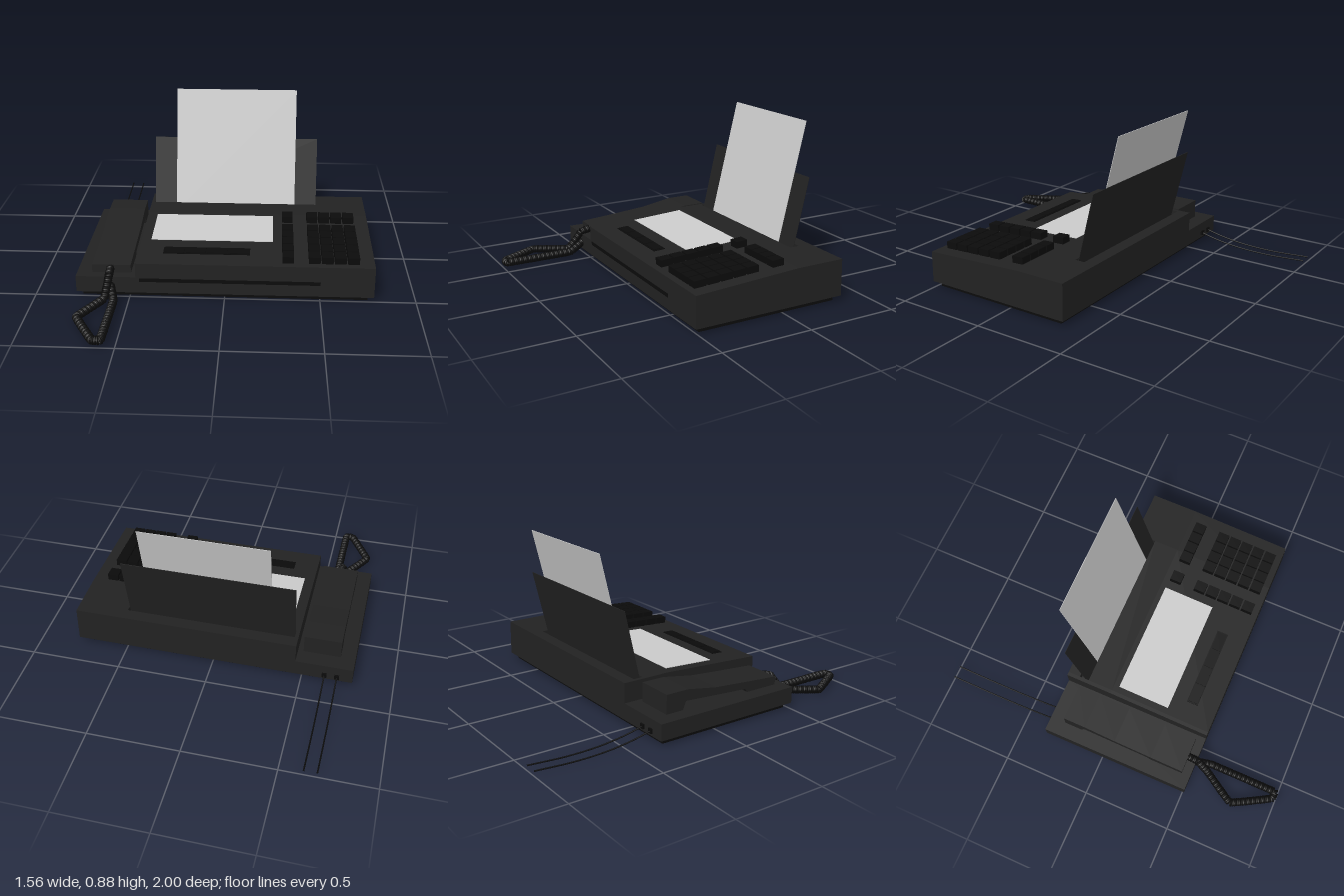
import * as THREE from 'three';

const mat = (color, extra = {}) => new THREE.MeshStandardMaterial({ color, ...extra });
const shell = mat(0x222222);
const dark = mat(0x0b0b0b);
const tray = mat(0x222222, { side: THREE.DoubleSide });
const paperMat = mat(0xcccccc, { side: THREE.DoubleSide });
const glass = mat(0xcccccc);

// Height of the sloped console top at depth z
const top = z => 0.23 - 0.03 * THREE.MathUtils.clamp((z + 0.08) / 0.59, 0, 1);

export function createModel() {
  const model = new THREE.Group();

  const add = (name, geometry, material) => {
    const mesh = new THREE.Mesh(geometry, material);
    mesh.name = name;
    model.add(mesh);
    return mesh;
  };

  const box = (name, x0, x1, y0, y1, z0, z1, material) =>
    add(name, new THREE.BoxGeometry(x1 - x0, y1 - y0, z1 - z0)
      .translate((x0 + x1) / 2, (y0 + y1) / 2, (z0 + z1) / 2), material);

  // Side profile of [z, y] points swept from x0 to x1
  const sweep = (name, points, x0, x1, material) => {
    const shape = new THREE.Shape(points.map(p => new THREE.Vector2(...p)));
    const geometry = new THREE.ExtrudeGeometry(shape, { depth: x1 - x0, bevelEnabled: false });
    return add(name, geometry.rotateY(-Math.PI / 2).translate(x1, 0, 0), material);
  };

  // Plate that lies on the sloped top
  const plate = (name, x, z, w, d, h, material) => {
    const mesh = add(name, new THREE.BoxGeometry(w, h + 0.01, d).translate(0, (h - 0.01) / 2, 0), material);
    mesh.position.set(x, top(z), z);
    mesh.rotation.x = Math.atan2(top(z - d / 2) - top(z + d / 2), d);
    return mesh;
  };

  // Thin sheet leaning back, from [y, z] to [y, z]
  const sheet = (name, x0, x1, [y0, z0], [y1, z1], material) => {
    const mesh = add(name, new THREE.BoxGeometry(x1 - x0, Math.hypot(y1 - y0, z1 - z0), 0.003), material);
    mesh.position.set((x0 + x1) / 2, (y0 + y1) / 2, (z0 + z1) / 2);
    mesh.rotation.x = Math.atan2(z1 - z0, y1 - y0);
  };

  // Base and console, with a slot for the paper tray
  box('foot', -0.75, 0.75, 0, 0.03, -0.32, 0.48, dark);
  const solid = [[-0.35, 0.03], [0.51, 0.03], [0.51, 0.2], [-0.08, 0.23], [-0.35, 0.23]];
  const slotted = [...solid.slice(0, 4), [-0.225, 0.23], [-0.225, 0.17], [-0.28, 0.17], [-0.28, 0.23], solid[4]];
  sweep('consoleRight', solid, -0.465, -0.445, shell);
  sweep('consoleMiddle', slotted, -0.445, 0.5, shell);
  sweep('consoleLeft', solid, 0.5, 0.78, shell);
  box('handsetBase', -0.78, -0.465, 0.03, 0.12, -0.35, 0.51, shell);
  box('paperOutlet', -0.445, 0.5, 0.095, 0.115, 0.5, 0.512, dark);

  // Handset: two end blocks joined by a thin sloping grip
  sweep('handset', [
    [-0.26, 0.115], [-0.16, 0.115], [-0.14, 0.165], [0.25, 0.14], [0.27, 0.115], [0.46, 0.115],
    [0.46, 0.165], [0.27, 0.178], [0.05, 0.195], [-0.13, 0.225], [-0.26, 0.225],
  ], -0.7, -0.495, shell);

  // Paper tray and sheet
  sheet('paperTray', -0.445, 0.5, [0.172, -0.231], [0.6, -0.335], tray);
  sheet('paper', -0.318, 0.375, [0.175, -0.222], [0.875, -0.398], paperMat);

  // Display and the row of menu buttons
  plate('display', -0.08, 0.1, 0.66, 0.3, 0.003, glass);
  plate('menuStrip', -0.1, 0.365, 0.46, 0.065, 0.004, dark);
  for (let i = 0; i < 4; i++) plate('menuButton', -0.27 + i * 0.113, 0.365, 0.105, 0.055, 0.008, dark);

  // Keypad, memory column and transport keys
  const columns = [0.33, 0.468, 0.535, 0.602, 0.67];
  const rows = [-0.01, 0.14, 0.215, 0.29, 0.365, 0.44];
  for (const z of rows) for (const x of columns) plate('key', x, z, 0.06, 0.066, 0.037, dark);

  // Two line cables with plugs at the rear
  for (const x of [-0.695, -0.627]) {
    const path = new THREE.CatmullRomCurve3([[0.06, -0.34], [0.035, -0.45], [0.016, -0.6], [0.012, -0.78], [0.025, -1]]
      .map(([y, z]) => new THREE.Vector3(x, y, z)));
    add('lineCable', new THREE.TubeGeometry(path, 32, 0.004, 8), dark);
    box('linePlug', x - 0.013, x + 0.013, 0.045, 0.07, -0.36, -0.34, dark);
  }

  // Coiled handset cord
  const spine = new THREE.CatmullRomCurve3([
    [-0.603, 0.145, 0.455], [-0.603, 0.13, 0.515], [-0.62, 0.035, 0.59], [-0.728, 0.03, 0.77],
    [-0.615, 0.03, 0.975], [-0.572, 0.03, 0.975], [-0.57, 0.03, 0.6], [-0.6, 0.075, 0.5],
  ].map(p => new THREE.Vector3(...p)), false, 'catmullrom', 0.08);
  const turns = 110;
  class Coil extends THREE.Curve {
    getPoint(t, target = new THREE.Vector3()) {
      const u = Math.min(Math.max(t, 0), 1);
      const along = spine.getTangentAt(u);
      const side = new THREE.Vector3(0, 1, 0).cross(along).normalize();
      const up = along.clone().cross(side);
      const a = u * turns * Math.PI * 2;
      return target.copy(spine.getPointAt(u))
        .addScaledVector(side, 0.017 * Math.cos(a)).addScaledVector(up, 0.017 * Math.sin(a));
    }
    getPointAt(u, target) { return this.getPoint(u, target); }
    getTangentAt(u, target) { return this.getTangent(u, target); }
  }
  add('handsetCord', new THREE.TubeGeometry(new Coil(), turns * 12, 0.006, 6), dark);

  return model;
}
